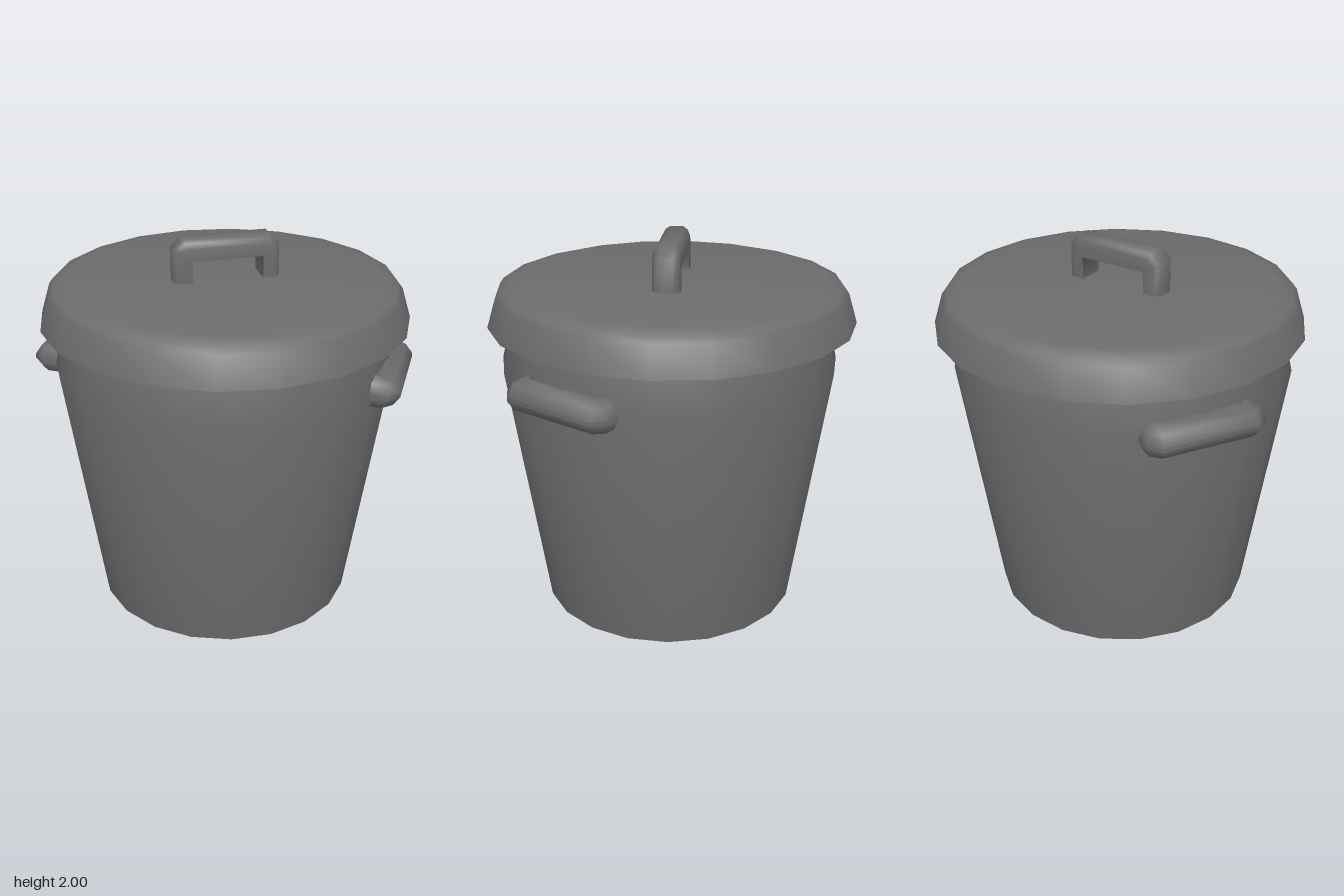
import * as THREE from 'three';
import { toCreasedNormals } from 'three/addons/utils/BufferGeometryUtils.js';

const material = new THREE.MeshStandardMaterial({ color: 0x6c6c6c });
const LID_TURN = THREE.MathUtils.degToRad(-5.7);

function addMesh(parent, name, geometry, crease) {
  const mesh = new THREE.Mesh(toCreasedNormals(geometry, crease), material);
  mesh.name = name;
  parent.add(mesh);
  return mesh;
}

// Turned part with 20 sides from [radius, height] pairs, listed from the bottom up
function turned(profile, turn) {
  const points = profile.map(([r, y]) => new THREE.Vector2(r, y));
  return new THREE.LatheGeometry(points, 20, turn);
}

// U-shaped grip standing on y = 0, running along x.
// half: section points [width, inset], inset 0 = outer face, 1 = inner face.
function grip({ length, height, leg, bar, chamfer, half }) {
  const section = [...half, ...half.map(([w, t]) => [-w, t]).reverse()];
  const n = section.length;
  const positions = [];
  const index = [];
  for (let i = 0; i < 6; i++) {
    for (const [w, t] of section) {
      const x = length / 2 - t * leg;
      const y = height - t * bar;
      const c = chamfer * (1 - t) + 0.003;
      const path = [[x, 0], [x, Math.max(y - c, 0)], [x - c, y]];
      const [px, py] = path[i < 3 ? i : 5 - i];
      positions.push(i < 3 ? -px : px, py, w);
    }
  }
  for (let i = 0; i < 5; i++) {
    for (let j = 0; j < n; j++) {
      const a = i * n + j, b = a + n;
      const c = i * n + (j + 1) % n, d = c + n;
      index.push(a, b, c, b, d, c);
    }
  }
  // Close the feet
  for (let j = 1; j < n - 1; j++) {
    index.push(0, j, j + 1);
    index.push(5 * n, 5 * n + j + 1, 5 * n + j);
  }
  const geometry = new THREE.BufferGeometry();
  geometry.setAttribute('position', new THREE.Float32BufferAttribute(positions, 3));
  geometry.setIndex(index);
  return geometry;
}

export function createModel() {
  const model = new THREE.Group();
  model.name = 'bin';

  // Tapered bucket with a shoulder below the rim
  const body = addMesh(model, 'body', turned([
    [0, 0], [0.69, 0], [0.889, 1.345], [0.832, 1.58], [0, 1.58],
  ], 0), 0.8);
  body.position.z = 0.017;

  // Overhanging lid with a rounded shoulder
  addMesh(model, 'lid', turned([
    [0, 1.57], [0.963, 1.57], [0.915, 1.725], [0.893, 1.755], [0.82, 1.776], [0, 1.776],
  ], LID_TURN), 0.95);

  // Grip on the lid, turned off the axes
  const lidHandle = addMesh(model, 'lidHandle', grip({
    length: 0.555, height: 0.24, leg: 0.092, bar: 0.11, chamfer: 0.05,
    half: [[0.07, 1], [0.072, 0.4], [0.06, 0.15], [0.035, 0]],
  }), 0.95);
  lidHandle.position.y = 1.76;
  lidHandle.rotation.y = Math.PI / 6;

  // Side grips sunk into the bucket wall
  const sideways = new THREE.Matrix4().makeBasis(
    new THREE.Vector3(0, 0, 1), new THREE.Vector3(1, 0, 0), new THREE.Vector3(0, 1, 0));
  for (const [name, angle] of [['leftHandle', 0], ['rightHandle', Math.PI]]) {
    const side = addMesh(model, name, grip({
      length: 0.635, height: 0.145, leg: 0.1, bar: 0.14, chamfer: 0.055,
      half: [[0.07, 1], [0.088, 0.75], [0.062, 0.25], [0.01, 0]],
    }).applyMatrix4(sideways), 0.95);
    side.position.set(0.82 * Math.cos(angle), 1.34, 0.017);
    side.rotation.y = angle;
  }
  return model;
}
